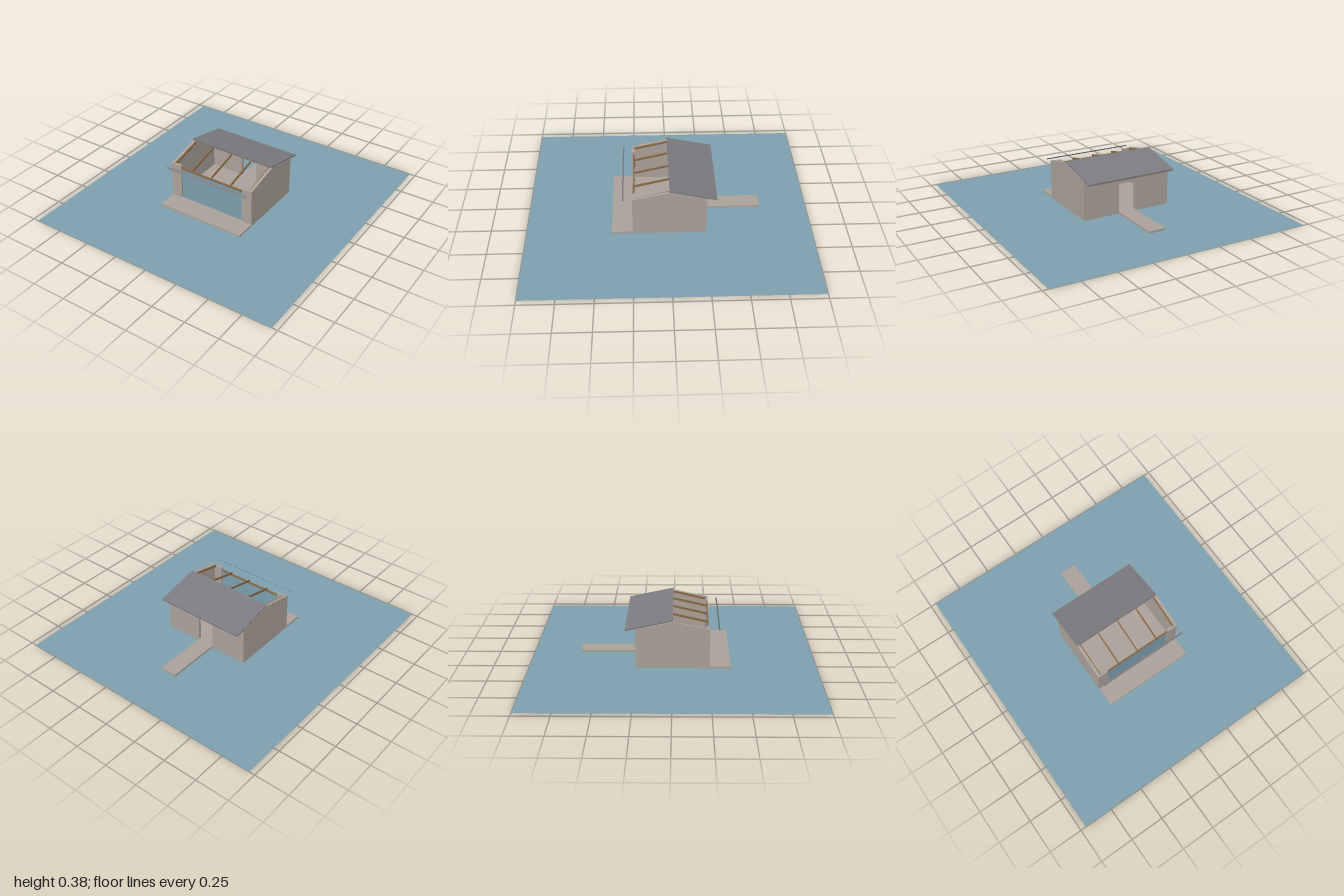
import * as THREE from 'three';

const mat = (name, color, side = THREE.FrontSide) => {
  const m = new THREE.MeshStandardMaterial({ color, side });
  m.name = name;
  return m;
};

export function createModel() {
  const model = new THREE.Group();
  model.name = 'pavilion';
  const water = mat('blue', 0x7c9fac, THREE.DoubleSide);
  const stone = mat('stone', 0xaaa199);
  const slate = mat('slate', 0x7b7b80, THREE.DoubleSide);
  const wood = mat('wood', 0x8a6a48);

  const add = (name, geometry, material) => {
    const mesh = new THREE.Mesh(geometry, material);
    mesh.name = name;
    model.add(mesh);
    return mesh;
  };
  // Box given by its minimum and maximum on each axis
  const box = (name, material, x0, x1, y0, y1, z0, z1) =>
    add(name, new THREE.BoxGeometry(x1 - x0, y1 - y0, z1 - z0), material)
      .position.set((x0 + x1) / 2, (y0 + y1) / 2, (z0 + z1) / 2);
  // Side profile of [z, y] points extruded between x0 and x1
  const profile = (name, material, points, x0, x1) => {
    const shape = new THREE.Shape(points.map(([z, y]) => new THREE.Vector2(z, y)));
    const geometry = new THREE.ExtrudeGeometry(shape, { depth: x1 - x0, bevelEnabled: false });
    geometry.rotateY(-Math.PI / 2);
    add(name, geometry, material).position.x = x1;
  };

  // Ground sheet, floor slab and rear path
  add('ground', new THREE.PlaneGeometry(1.92, 2).rotateX(-Math.PI / 2), water);
  box('floorSlab', stone, -0.335, 0.335, 0.025, 0.04, -0.255, 0.4);
  box('rearPath', stone, -0.062, 0.062, 0.025, 0.04, -0.655, -0.255);

  // Gable walls and front returns
  const gable = [[-0.255, 0.04], [0.255, 0.04], [0.255, 0.311], [0, 0.365], [-0.255, 0.311]];
  for (const s of [-1, 1]) {
    const c = s * 0.325;
    profile('gableWall', stone, gable, c - 0.01, c + 0.01);
    const r = s * 0.285;
    box('frontReturn', stone, r - 0.03, r + 0.03, 0.04, 0.308, 0.235, 0.255);
  }

  // Back wall with a doorway
  const back = new THREE.Shape([
    [-0.315, 0.04], [-0.062, 0.04], [-0.062, 0.245], [0.062, 0.245],
    [0.062, 0.04], [0.315, 0.04], [0.315, 0.308], [-0.315, 0.308],
  ].map(([x, y]) => new THREE.Vector2(x, y)));
  add('backWall', new THREE.ExtrudeGeometry(back, { depth: 0.02, bevelEnabled: false }), stone)
    .position.z = -0.255;

  // Front glazing and the beam above it
  add('frontGlass', new THREE.PlaneGeometry(0.51, 0.24), water).position.set(0, 0.16, 0.245);
  box('frontBeam', wood, -0.255, 0.255, 0.277, 0.29, 0.24, 0.25);

  // Rear roof slope with timber lining
  profile('rearRoof', slate, [[0, 0.369], [0, 0.379], [-0.325, 0.308], [-0.325, 0.298]], -0.335, 0.335);
  profile('roofLining', wood, [[0, 0.364], [0, 0.3685], [-0.32, 0.2985], [-0.32, 0.294]], -0.315, 0.315);

  // Exposed rafters over the open front slope
  for (const x of [-0.311, -0.16, 0, 0.16, 0.311]) {
    const h = x === 0 ? 0.003 : 0.004;
    profile('rafter', wood, [[0, 0.35], [0.245, 0.292], [0.245, 0.308], [0, 0.364]], x - h, x + h);
  }

  // Slim eave strip hanging in front
  const eave = add('frontEave', new THREE.PlaneGeometry(0.67, 0.016), slate);
  eave.position.set(0, 0.304, 0.318);
  eave.rotation.x = -Math.PI / 4;

  return model;
}
